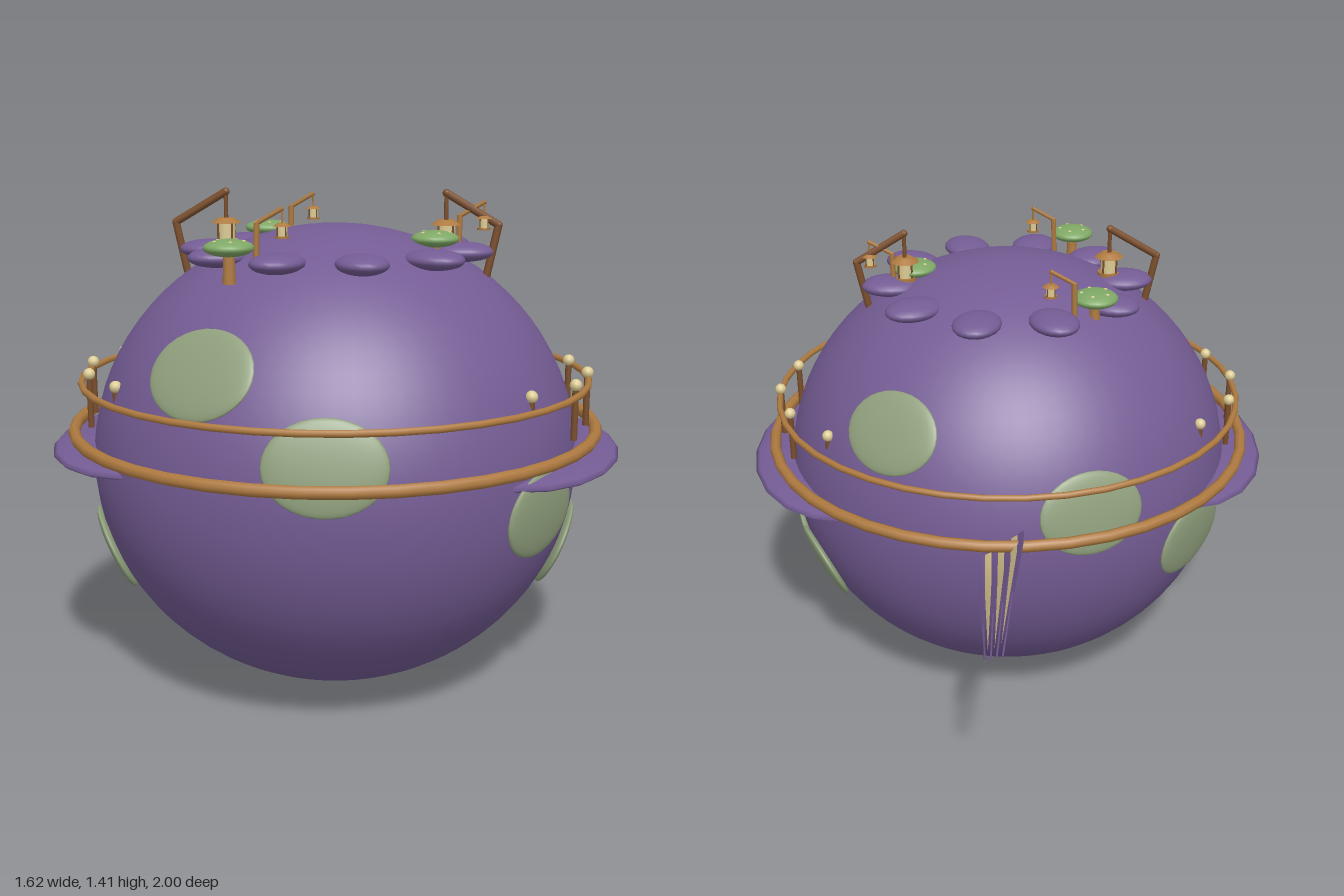
import * as THREE from 'three';

const mat = (name, color) => Object.assign(new THREE.MeshStandardMaterial({ color }), { name });
const V = (x, y, z) => new THREE.Vector3(x, y, z);

export function createModel() {
  const purple = mat('purple skin', 0x745c94);
  const moss = mat('moss patch', 0x8f9f7c);
  const wood = mat('golden wood', 0xae7a40);
  const darkWood = mat('dark wood', 0x7a4e2c);
  const cream = mat('cream glow', 0xdccb94);
  const leaf = mat('mushroom green', 0x7fa866);
  const finPurple = mat('tail purple', 0x705890);
  const finCream = mat('tail cream', 0xd0bd88);
  finPurple.side = finCream.side = THREE.DoubleSide;

  const model = new THREE.Group();
  model.name = 'floatingGlobe';
  const C = V(0, 0.657, 0.24), R = V(0.69, 0.655, 0.69);

  const add = (name, geo, material, x, y, z, parent = model) => {
    const m = new THREE.Mesh(geo, material);
    m.name = name;
    m.position.set(x, y, z);
    parent.add(m);
    return m;
  };
  const ball = (name, material, p, s, parent = model, w = 20, h = 14) => {
    const m = add(name, new THREE.SphereGeometry(1, w, h), material, p[0], p[1], p[2], parent);
    m.scale.set(...s);
    return m;
  };
  // straight round bar between two points
  const bar = (name, a, b, r, material, parent = model) => {
    const d = b.clone().sub(a);
    const p = a.clone().add(b).multiplyScalar(0.5);
    const m = add(name, new THREE.CylinderGeometry(r, r, d.length(), 8), material, p.x, p.y, p.z, parent);
    m.quaternion.setFromUnitVectors(V(0, 1, 0), d.normalize());
    return m;
  };

  // body
  ball('body', purple, C.toArray(), R.toArray(), model, 64, 40);

  // moss patches lying on the body: direction from its centre, half width, half height
  const patches = [
    [-0.27, 0.32, 0.53, 0.16, 0.125], [0.055, 0.13, 0.67, 0.157, 0.122],
    [0.565, -0.057, 0.36, 0.15, 0.118], [0.63, -0.25, 0.005, 0.155, 0.125],
    [0.60, -0.25, -0.23, 0.135, 0.125], [0.354, 0.315, -0.478, 0.15, 0.12],
    [-0.186, 0.13, -0.637, 0.155, 0.122], [-0.504, -0.067, -0.444, 0.155, 0.12],
    [-0.60, -0.25, 0.19, 0.14, 0.125],
  ];
  for (const [x, y, z, a, b] of patches) {
    const d = V(x, y, z).divide(R).normalize();
    const p = d.clone().multiply(R).add(C);
    const m = ball('mossPatch', moss, p.toArray(), [a, b, 0.02], model, 32, 16);
    m.lookAt(p.clone().add(d.divide(R)));
  }

  // walkway ring and hand rail
  for (const [name, r, tube, y] of [['walkwayRing', 0.743, 0.017, 0.747], ['handRail', 0.718, 0.0095, 0.884]]) {
    add(name, new THREE.TorusGeometry(r, tube, 8, 40), wood, 0, y, C.z).rotation.x = Math.PI / 2;
  }

  for (const s of [-1, 1]) {
    // side fins
    ball('sideFin', purple, [s * 0.51, 0.687, C.z], [0.3, 0.037, 0.472], model, 20, 12);

    // rail posts with glowing knobs
    for (const [x, z] of [[0.55, -0.34], [0.672, -0.18], [0.715, 0], [0.672, 0.18], [0.55, 0.34]]) {
      bar('railPost', V(s * x, 0.75, C.z + z), V(s * x, 0.89, C.z + z), 0.009, darkWood);
      ball('railKnob', cream, [s * x, 0.902, C.z + z], [0.017, 0.017, 0.017], model, 12, 8);
    }
  }

  // ring of petals around the crown
  for (let i = 0; i < 10; i++) {
    const a = i * Math.PI / 5;
    const m = ball('petal', purple, [0.355 * Math.cos(a), 1.237, C.z + 0.355 * Math.sin(a)], [0.09, 0.028, 0.07]);
    m.rotation.y = -a;
  }

  // lantern hanging below its own origin, scaled as a whole
  const lantern = (x, y, z, k) => {
    const g = new THREE.Group();
    g.name = 'lantern';
    g.position.set(x, y, z);
    g.scale.setScalar(k);
    model.add(g);
    add('lanternCap', new THREE.CylinderGeometry(0.022, 0.043, 0.014, 16), wood, 0, -0.007, 0, g);
    add('lanternGlass', new THREE.CylinderGeometry(0.025, 0.025, 0.05, 14), cream, 0, -0.038, 0, g);
    add('lanternBase', new THREE.CylinderGeometry(0.034, 0.034, 0.01, 16), wood, 0, -0.066, 0, g);
    for (let i = 0; i < 4; i++) {
      const a = Math.PI / 4 + i * Math.PI / 2, u = 0.028 * Math.cos(a), v = 0.028 * Math.sin(a);
      bar('lanternFrame', V(u, -0.066, v), V(u, -0.007, v), 0.003, darkWood, g);
    }
  };

  // two large lantern cranes
  for (const s of [-1, 1]) {
    const pts = [[0.425, 1.17], [0.455, 1.312], [0.31, 1.398], [0.31, 1.32]].map(([x, y]) => V(s * x, y, C.z));
    const radii = [0.011, 0.011, 0.006];
    radii.forEach((r, i) => bar('craneArm', pts[i], pts[i + 1], r, darkWood));
    for (const i of [1, 2]) ball('craneJoint', darkWood, pts[i].toArray(), [0.011, 0.011, 0.011], model, 10, 8);
    lantern(s * 0.31, 1.325, C.z, 1);
  }

  // three small lantern posts, each with a mushroom
  for (let i = 0; i < 3; i++) {
    const a = i * Math.PI * 2 / 3;
    const x = 0.345 * Math.cos(a), z = C.z + 0.345 * Math.sin(a);
    bar('lampPost', V(x, 1.2, z), V(x + 0.003, 1.338, z), 0.008, wood);
    bar('lampArm', V(x, 1.334, z), V(x + 0.073, 1.376, z), 0.006, wood);
    bar('lampHook', V(x + 0.07, 1.374, z), V(x + 0.07, 1.335, z), 0.003, wood);
    lantern(x + 0.07, 1.337, z, 0.55);

    const mx = x - 0.063, mz = z + 0.042;
    add('mushroomStem', new THREE.CylinderGeometry(0.014, 0.018, 0.09, 12), wood, mx, 1.227, mz);
    ball('mushroomCap', leaf, [mx, 1.276, mz], [0.067, 0.023, 0.067]);
    for (let j = 0; j < 5; j++) {
      const b = j * Math.PI * 0.4;
      ball('capSpot', cream, [mx + 0.04 * Math.cos(b), 1.2935, mz + 0.04 * Math.sin(b)],
        [0.006, 0.003, 0.006], model, 8, 6);
    }
  }

  // tail fan: seven strips across a slanted sheet, pinched at the root and tips
  const tail = new THREE.Group();
  tail.name = 'tailFan';
  model.add(tail);
  const mix = (a, b, t) => a.clone().lerp(b, t);
  const root = t => mix(V(0.0, 0.755, -0.42), V(0.128, 0.68, -0.42), t);
  const wide = t => mix(V(0.012, 0.792, -0.555), V(0.135, 0.605, -0.555), t);
  const tip = t => mix(V(0.097, 0.75, -1), V(0.14, 0.738, -1), t);
  for (let i = 0; i < 7; i++) {
    const t0 = i / 7, t1 = (i + 1) / 7, rib = i % 2 === 0;
    const end = rib ? tip(i / 6) : mix(wide((t0 + t1) / 2), tip(i / 6), 0.9);
    const geo = new THREE.BufferGeometry().setFromPoints([root(t0), root(t1), wide(t0), wide(t1), end]);
    geo.setIndex([0, 2, 1, 1, 2, 3, 2, 4, 3]);
    geo.computeVertexNormals();
    add(rib ? 'tailRib' : 'tailWeb', geo, rib ? finPurple : finCream, 0, 0, 0, tail);
    if (rib) {
      const m = (t0 + t1) / 2;
      bar('tailSpine', mix(wide(m), end, 0.45), end, 0.0025, finPurple, tail);
    }
  }

  return model;
}
